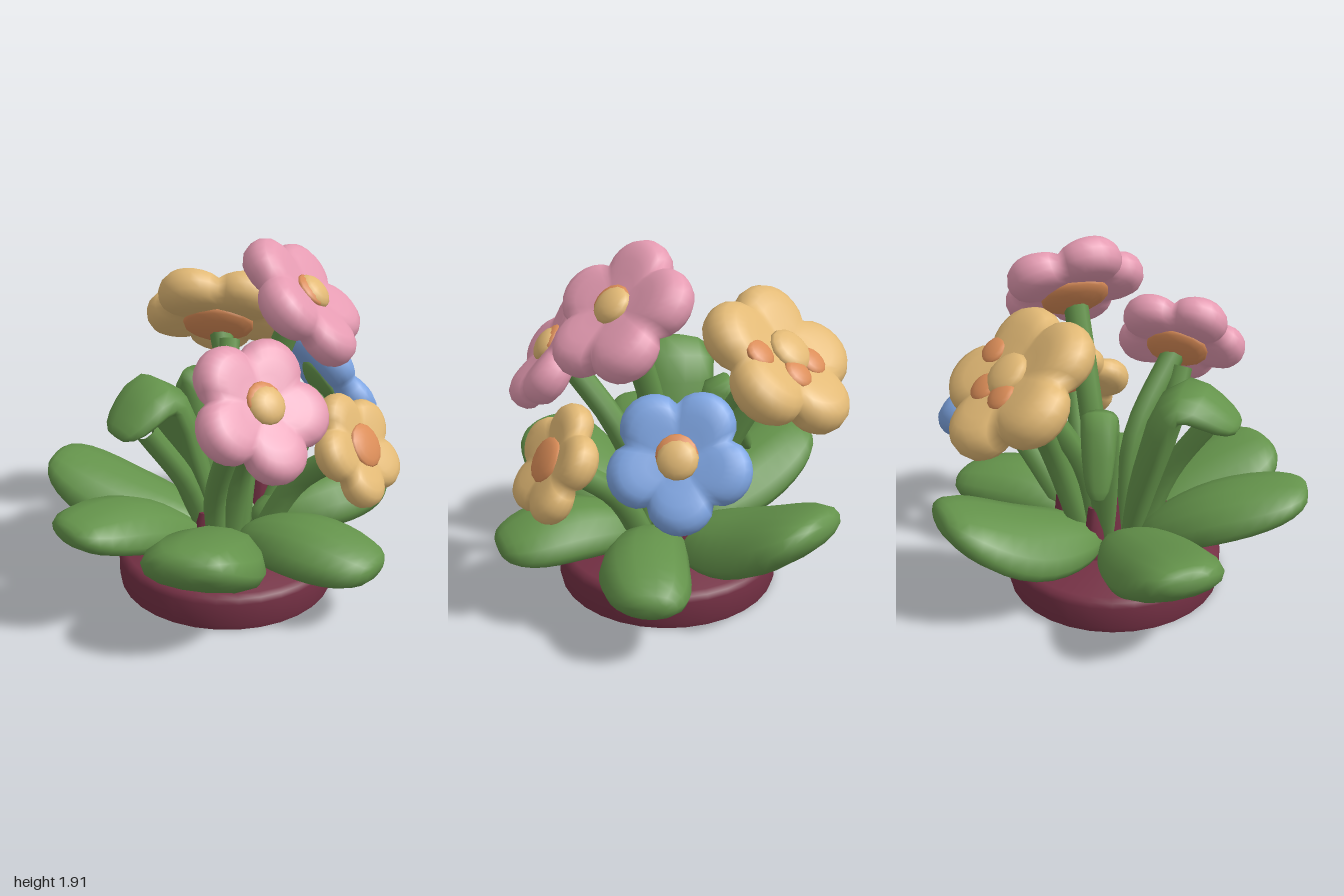
import * as THREE from 'three';
import { mergeVertices, toCreasedNormals } from 'three/addons/utils/BufferGeometryUtils.js';

const mat = (name, color) => {
  const m = new THREE.MeshStandardMaterial({ color });
  m.name = name;
  return m;
};
const V = (a) => new THREE.Vector3(...a);

// Move every vertex of a unit sphere by a rule and smooth the result
function shapedSphere(wSeg, hSeg, rule) {
  let g = new THREE.SphereGeometry(1, wSeg, hSeg);
  g.deleteAttribute('uv');
  g.deleteAttribute('normal');
  g = mergeVertices(g, 1e-4);
  const pos = g.attributes.position;
  const v = new THREE.Vector3();
  for (let i = 0; i < pos.count; i++) {
    v.fromBufferAttribute(pos, i);
    rule(v);
    pos.setXYZ(i, v.x, v.y, v.z);
  }
  g.computeVertexNormals();
  return g;
}

// Plump leaf following a curve: start, middle, tip; half width and half thickness
function leafGeometry(points, width, thick) {
  const curve = new THREE.CatmullRomCurve3(points.map(V));
  const dir = V(points[points.length - 1]).sub(V(points[0])).setY(0);
  const side = dir.cross(new THREE.Vector3(0, 1, 0)).normalize();
  return shapedSphere(14, 16, (v) => {
    const t = THREE.MathUtils.clamp((v.y + 1) / 2, 0, 1);
    const up = side.clone().cross(curve.getTangent(t)).normalize();
    const full = Math.pow(Math.max(Math.hypot(v.x, v.z), 1e-4), -0.3);
    const groove = v.z > 0 ? 1 - 0.2 * Math.exp(-v.x * v.x * 14) : 1;
    const p = curve.getPoint(t)
      .addScaledVector(side, v.x * full * width * (0.8 + 0.34 * t))
      .addScaledVector(up, v.z * full * thick * groove - 0.18 * width * v.x * v.x);
    v.copy(p);
  });
}

// Five puffy petals in one closed shape, facing +y with one petal along +x
function blossomGeometry(R, T) {
  return shapedSphere(50, 14, (v) => {
    const s = Math.hypot(v.x, v.z);
    const a = Math.atan2(v.z, v.x);
    const petal = Math.abs(Math.cos(2.5 * a));
    const rad = R * (0.75 + 0.25 * Math.pow(petal, 0.75));
    const puff = 1 - 0.35 * (1 - petal) * s;
    v.set(Math.cos(a) * s * rad, v.y * T * puff * (0.4 + s * s), Math.sin(a) * s * rad);
  });
}

export function createModel() {
  const pink = mat('pink petals', 0xe59bb2);
  const yellow = mat('yellow petals', 0xe2b975);
  const blue = mat('blue petals', 0x7ea5e2);
  const orange = mat('orange centre', 0xdb8d58);
  const green = mat('leaf green', 0x64934b);
  const maroon = mat('maroon pot', 0x743044);

  const model = new THREE.Group();
  const add = (parent, name, geo, material) => {
    const m = new THREE.Mesh(geo, material);
    m.name = name;
    parent.add(m);
    return m;
  };

  // Low round pot with filled top
  const profile = [[0, 0], [0.59, 0], [0.597, 0.03], [0.597, 0.15], [0.588, 0.18], [0.56, 0.195], [0, 0.2]]
    .map((p) => new THREE.Vector2(...p));
  const pot = add(model, 'pot', toCreasedNormals(new THREE.LatheGeometry(profile, 32), 0.9), maroon);
  pot.position.set(0.055, 0, 0.01);

  // Short shoots in the middle of the plant
  [[0.08, 0.66, 0.02], [0.33, 0.62, 0.03], [-0.2, 0.5, 0.06], [0.16, 0.5, -0.14]].forEach(([x, h, z]) => {
    const shoot = add(model, 'shoot', new THREE.CylinderGeometry(0.03, 0.08, h - 0.15, 7), maroon);
    shoot.position.set(x, (h + 0.15) / 2, z);
  });

  // Leaves: curve points, half width, half thickness
  const leaves = [
    ['backLeaf', [[0.02, 0.27, -0.1], [-0.16, 0.39, -0.5], [-0.32, 0.58, -0.95]], 0.28, 0.15],
    ['backLeftLeaf', [[0.15, 0.27, -0.05], [0.54, 0.4, -0.28], [0.93, 0.63, -0.47]], 0.33, 0.15],
    ['rightLeaf', [[-0.1, 0.27, -0.05], [-0.5, 0.5, -0.14], [-0.98, 0.62, -0.17]], 0.26, 0.13],
    ['frontRightLeaf', [[-0.05, 0.25, 0.1], [-0.45, 0.43, 0.31], [-0.83, 0.6, 0.47]], 0.3, 0.16],
    ['frontLeaf', [[0.04, 0.3, 0.15], [0.05, 0.38, 0.55], [0.09, 0.34, 0.96]], 0.25, 0.14],
    ['frontLeftLeaf', [[0.2, 0.29, 0.1], [0.55, 0.39, 0.31], [0.96, 0.38, 0.43]], 0.23, 0.15],
    ['tallLeaf', [[-0.02, 0.2, -0.02], [-0.14, 0.75, -0.1], [-0.3, 1.16, -0.16], [-0.6, 1.0, -0.18]], 0.22, 0.09],
    ['smallLeaf', [[0.1, 0.2, -0.08], [0.11, 0.8, -0.18], [0.12, 1.1, -0.26], [0.13, 0.7, -0.43]], 0.1, 0.07],
  ];
  leaves.forEach(([name, pts, w, t]) => add(model, name, leafGeometry(pts, w, t), green));

  // Flowers: petals, centre position, facing, direction of one petal, radius, stem foot and bend
  const flowers = [
    ['rightPinkFlower', pink, [-0.31, 1.23, 0.5], [-0.2, 0.6, 0.77], [0.6, 0.8, 0], 0.375, [-0.02, 0.2, 0.08], [-0.06, 0.75, 0.2]],
    ['topPinkFlower', pink, [0.28, 1.6, 0.33], [0.25, 0.7, 0.66], [-0.4, 0.8, -0.5], 0.395, [0.1, 0.2, 0.05], [0.17, 0.9, 0.1]],
    ['frontYellowFlower', yellow, [0.29, 0.87, 0.68], [0.08, 0.52, 0.84], [-0.2, 1, -0.5], 0.315, [0.15, 0.2, 0.15], [0.24, 0.6, 0.35]],
    ['blueFlower', blue, [0.75, 1.02, 0.21], [0.77, 0.5, 0.4], [0, 0.8, -0.55], 0.35, [0.25, 0.2, 0.1], [0.5, 0.65, 0.16]],
    ['backYellowFlower', yellow, [0.51, 1.35, -0.41], [0.54, 0.75, -0.36], [-0.25, 0, -1], 0.435, [0.2, 0.2, -0.05], [0.34, 0.75, -0.15]],
  ];
  flowers.forEach(([name, petalMat, at, face, petalDir, R, foot, bend]) => {
    const n = V(face).normalize();
    const x = V(petalDir).projectOnPlane(n).normalize();
    const flower = new THREE.Group();
    flower.name = name;
    flower.position.copy(V(at));
    flower.quaternion.setFromRotationMatrix(new THREE.Matrix4().makeBasis(x, n, x.clone().cross(n)));
    model.add(flower);

    const T = R * 0.4;
    add(flower, 'petals', blossomGeometry(R, T), petalMat);
    // Flat dome helper for the flower centre, patches and the back cup
    const dome = (part, r, h, [px, py, pz], m) => {
      const d = add(flower, part, new THREE.SphereGeometry(1, 14, 8), m);
      d.scale.set(r, h, r);
      d.position.set(px, py, pz);
    };
    if (name === 'frontYellowFlower') {
      dome('centre', 0.12, 0.035, [0, T * 0.46, 0], orange);
    } else if (name === 'backYellowFlower') {
      dome('centre', 0.12, 0.05, [0, T * 0.45, 0], yellow);
      [[0.63, 0.13], [1.88, 0.14], [3.14, 0.22]].forEach(([a, d]) => {
        dome('patch', 0.08, 0.03, [Math.cos(a) * d, T * 0.46, Math.sin(a) * d], orange);
      });
    } else {
      dome('centreRing', 0.1, 0.035, [0.014, T * 0.44, -0.014], orange);
      dome('centre', 0.1, 0.055, [0, T * 0.43, 0], yellow);
    }
    dome('backCup', R * 0.48, T * 0.42, [0, -T * 0.45, 0], name === 'blueFlower' ? green : orange);

    // Stem rising from the pot to the back of the flower
    const end = V(at).addScaledVector(n, -T * 0.3);
    const path = new THREE.CatmullRomCurve3([V(foot), V(bend), end]);
    add(model, name + 'Stem', new THREE.TubeGeometry(path, 10, 0.066, 8), green);
  });

  // Side stalks beside the back yellow flower and under the tall leaf
  [[[0.15, 0.2, -0.05], [0.2, 0.7, -0.12], [0.44, 1.22, -0.28]],
    [[-0.08, 0.2, 0.02], [-0.25, 0.65, 0], [-0.48, 1.02, -0.08]],
    [[-0.12, 0.2, 0.08], [-0.2, 0.6, 0.14], [-0.32, 1.1, 0.38]]].forEach((pts) => {
    add(model, 'sideStalk', new THREE.TubeGeometry(new THREE.CatmullRomCurve3(pts.map(V)), 10, 0.06, 7), green);
  });

  return model;
}
